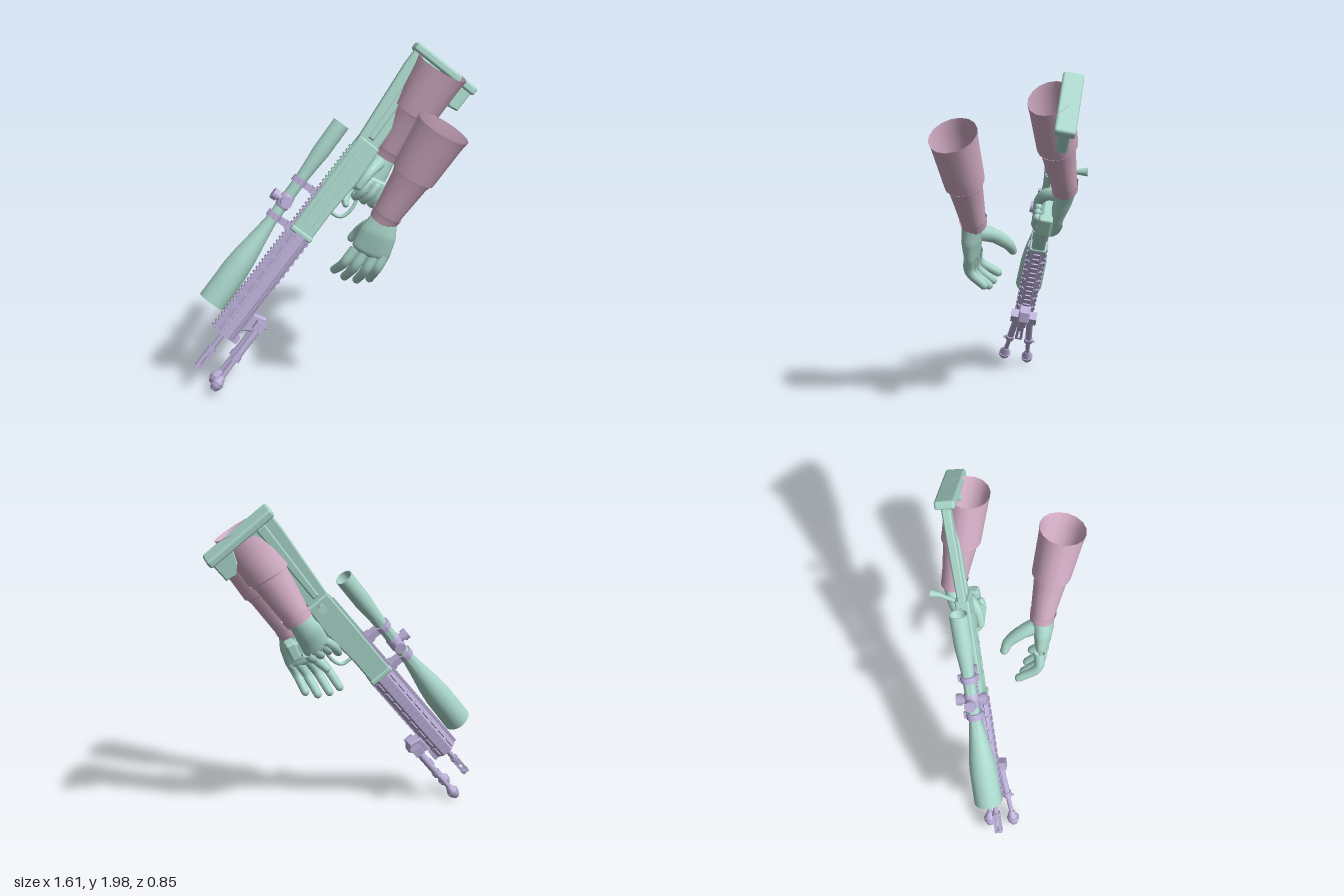
import * as THREE from 'three';
import { toCreasedNormals } from 'three/addons/utils/BufferGeometryUtils.js';
import { RoundedBoxGeometry } from 'three/addons/geometries/RoundedBoxGeometry.js';

const V = (p) => new THREE.Vector3(...p);

function makeMaterial(name, color) {
  const m = new THREE.MeshStandardMaterial({ color, side: THREE.DoubleSide });
  m.name = name;
  return m;
}

function add(parent, name, geometry, material, pos = [0, 0, 0]) {
  const mesh = new THREE.Mesh(geometry, material);
  mesh.name = name;
  mesh.position.set(...pos);
  parent.add(mesh);
  return mesh;
}

const box = (x, y, z) => new THREE.BoxGeometry(x, y, z);

// Lathe of [radius, distance] pairs, turned to lie along x
const turned = (profile, sides = 24) => toCreasedNormals(
  new THREE.LatheGeometry(profile.map(([r, y]) => new THREE.Vector2(r, y)), sides).rotateZ(-Math.PI / 2), 0.6);

// Side outline in x, y extruded to a centred width in z, with a small bevel
function plate(points, width, bevel = 0.008) {
  const shape = new THREE.Shape(points.map(([x, y]) => new THREE.Vector2(x, y)));
  const depth = width - 2 * bevel;
  return new THREE.ExtrudeGeometry(shape, {
    depth, bevelEnabled: true, bevelSize: bevel, bevelOffset: -bevel, bevelThickness: bevel, bevelSegments: 1,
  }).translate(0, 0, -depth / 2);
}

// Tapered rod between two points
function rod(a, b, ra, rb = ra, sides = 14) {
  const p = V(a), d = V(b).sub(p), g = new THREE.CylinderGeometry(rb, ra, d.length(), sides);
  g.translate(0, d.length() / 2, 0);
  g.applyQuaternion(new THREE.Quaternion().setFromUnitVectors(new THREE.Vector3(0, 1, 0), d.normalize()));
  return g.translate(p.x, p.y, p.z);
}

// Elliptical rings along a curve; radii are [across, through]; optional round end
function loft(points, radii, wide, cap = true, sides = 14, steps = 12) {
  const curve = new THREE.CatmullRomCurve3(points.map(V));
  const rings = [];
  for (let i = 0; i <= steps; i++) {
    const u = i / steps, f = u * (radii.length - 1), k = Math.min(Math.floor(f), radii.length - 2);
    const r = [0, 1].map((n) => THREE.MathUtils.lerp(radii[k][n], radii[k + 1][n], f - k));
    rings.push({ p: curve.getPoint(u), t: curve.getTangent(u), r });
  }
  if (cap) {
    const e = rings[steps], depth = e.r[1];
    for (let i = 1; i <= 5; i++) {
      const q = i / 5 * Math.PI / 2, c = Math.max(Math.cos(q), 0.001);
      rings.push({ p: e.p.clone().addScaledVector(e.t, depth * Math.sin(q)), t: e.t, r: e.r.map((v) => v * c) });
    }
  }
  const pos = [], index = [];
  rings.forEach(({ p, t, r }, i) => {
    const A = V(wide).addScaledVector(t, -V(wide).dot(t)).normalize();
    const B = new THREE.Vector3().crossVectors(t, A);
    for (let j = 0; j < sides; j++) {
      const q = j / sides * Math.PI * 2;
      const v = p.clone().addScaledVector(A, Math.cos(q) * r[0]).addScaledVector(B, Math.sin(q) * r[1]);
      pos.push(v.x, v.y, v.z);
      if (i === rings.length - 1) continue;
      const a = i * sides + j, b = i * sides + (j + 1) % sides;
      index.push(a, b, a + sides, b, b + sides, a + sides);
    }
  });
  const g = new THREE.BufferGeometry();
  g.setAttribute('position', new THREE.Float32BufferAttribute(pos, 3));
  g.setIndex(index);
  g.computeVertexNormals();
  return g;
}

const finger = (points, r0, r1) => loft(points, [[r0, r0], [r1, r1]], [0.31, 0.17, 0.93], true, 10, 10);

export function createModel() {
  const teal = makeMaterial('pale teal', 0xa9d6ca);
  const pink = makeMaterial('dusty pink', 0xd4aec6);
  const lilac = makeMaterial('lilac', 0xb9aed6);
  const model = new THREE.Group();
  model.name = 'rifleAndArms';

  // Rifle frame: x runs from muzzle to butt, y is its top, z its side
  const rifle = new THREE.Group();
  rifle.name = 'rifle';
  const along = V([0.585, 0.76, -0.281]).normalize();
  const side = along.clone().cross(V([-0.78, 0.62, 0.07])).normalize();
  const up = side.clone().cross(along);
  rifle.quaternion.setFromRotationMatrix(new THREE.Matrix4().makeBasis(along, up, side));
  rifle.position.set(-0.785, 0.17, 0.305);
  model.add(rifle);

  // Barrel and slotted muzzle
  add(rifle, 'barrel', rod([0.08, 0, 0], [0.3, 0, 0], 0.016), lilac);
  for (let i = 0; i < 4; i++) {
    const q = (i + 0.5) * Math.PI / 2;
    add(rifle, 'muzzleProng', box(0.13, 0.015, 0.015), lilac, [0.065, Math.cos(q) * 0.02, Math.sin(q) * 0.02]);
  }
  for (const x of [0.005, 0.13]) add(rifle, 'muzzleRing', turned([[0.011, x], [0.026, x], [0.026, x + 0.015], [0.011, x + 0.015]]), lilac);

  // Eight-sided handguard with ladder panels and lower rail
  const guard = new THREE.CylinderGeometry(0.074, 0.074, 0.74, 8).rotateY(Math.PI / 8).rotateZ(-Math.PI / 2).scale(1, 1, 0.78);
  add(rifle, 'handguard', toCreasedNormals(guard, 0.6), lilac, [0.615, -0.004, 0]);
  for (let i = 0; i < 16; i++) {
    const x = 0.275 + i * 0.0455;
    for (const s of [-1, 1]) {
      add(rifle, 'guardPanel', box(0.028, 0.048, 0.012), lilac, [x, -0.004, s * 0.054]);
      if (i % 2 === 0) {
        for (const y of [0.046, -0.054]) {
          const slot = add(rifle, 'guardSlot', box(0.065, 0.02, 0.008), lilac, [x + 0.02, y, s * 0.041]);
          slot.rotation.x = s * Math.sign(y) * -0.85;
        }
      }
    }
    add(rifle, 'lowerRailTooth', box(0.022, 0.012, 0.04), lilac, [x, -0.075, 0]);
  }
  add(rifle, 'gasBlock', box(0.05, 0.06, 0.05), lilac, [0.265, -0.065, 0]);

  // Top rail with teeth
  add(rifle, 'topRailFront', box(1.05, 0.012, 0.034), lilac, [0.775, 0.068, 0]);
  add(rifle, 'topRailRear', box(0.32, 0.012, 0.034), teal, [1.46, 0.07, 0]);
  for (let i = 0; i < 48; i++) {
    const x = 0.26 + i * 0.028;
    add(rifle, 'topRailTooth', box(0.014, 0.012, 0.042), x < 1.3 ? lilac : teal, [x, 0.078, 0]);
  }

  // Receiver, trigger and bolt
  add(rifle, 'receiver', plate([[0.98, -0.072], [1.2, -0.07], [1.45, -0.085], [1.66, -0.07], [1.66, 0.072], [0.98, 0.066]], 0.08), teal);
  add(rifle, 'receiverCollar', new RoundedBoxGeometry(0.035, 0.15, 0.105, 2, 0.012), teal, [0.995, -0.003, 0]);
  for (const s of [-1, 1]) {
    add(rifle, 'receiverRidge', box(0.5, 0.014, 0.012), teal, [1.32, 0.03, s * 0.04]);
    for (let i = 0; i < 4; i++) add(rifle, 'receiverRib', box(0.07, 0.012, 0.01), teal, [1.1 + i * 0.1, -0.035, s * 0.041]);
  }
  const loop = new THREE.CatmullRomCurve3([[1.2, -0.06, 0], [1.21, -0.13, 0], [1.26, -0.155, 0], [1.36, -0.145, 0], [1.41, -0.09, 0]].map(V));
  add(rifle, 'triggerGuard', new THREE.TubeGeometry(loop, 20, 0.011, 8), teal);
  add(rifle, 'trigger', rod([1.31, -0.07, 0], [1.29, -0.125, 0], 0.009, 0.006, 8), teal);
  add(rifle, 'boltHandle', rod([1.62, 0, -0.03], [1.67, 0, -0.13], 0.013), teal);
  add(rifle, 'boltKnob', rod([1.67, 0, -0.12], [1.685, 0, -0.185], 0.014, 0.025), teal);

  // Pistol grip with a blocky foot
  add(rifle, 'grip', plate([[1.38, -0.06], [1.49, -0.06], [1.55, -0.29], [1.45, -0.32]], 0.06, 0.015), teal);
  add(rifle, 'gripFoot', new RoundedBoxGeometry(0.12, 0.06, 0.08, 2, 0.015), teal, [1.5, -0.29, 0]).rotation.z = 0.25;

  // Stock, butt pad and toe
  add(rifle, 'stock', plate([[1.62, -0.065], [2.0, -0.05], [2.26, -0.08], [2.26, 0.12], [2.15, 0.118], [1.62, 0.07]], 0.05), teal);
  add(rifle, 'stockRidge', plate([[1.68, -0.01], [2.24, 0.0], [2.24, 0.06], [1.68, 0.03]], 0.066), teal);
  add(rifle, 'buttPad', new RoundedBoxGeometry(0.052, 0.45, 0.115, 2, 0.016), teal, [2.27, -0.09, 0]);
  add(rifle, 'stockToe', plate([[2.26, -0.15], [2.16, -0.19], [2.11, -0.24], [2.12, -0.3], [2.26, -0.3]], 0.065), teal);

  // Scope: open at both ends
  const scope = new THREE.Group();
  scope.name = 'scope';
  scope.position.y = 0.162;
  scope.rotation.z = 0.023;
  rifle.add(scope);
  add(scope, 'scopeBody', turned([[0, 0.42], [0.073, 0.42], [0.077, 0.36], [0.083, 0.36], [0.08, 0.6], [0.071, 0.7], [0.05, 0.84],
    [0.036, 0.95], [0.036, 1.25], [0.042, 1.34], [0.051, 1.45], [0.052, 1.65], [0.047, 1.65], [0.043, 1.6], [0, 1.6]]), teal);
  for (const x of [0.985, 1.235]) {
    add(scope, 'scopeRing', turned([[0.036, x - 0.02], [0.047, x - 0.02], [0.047, x + 0.02], [0.036, x + 0.02]]), lilac);
    add(scope, 'ringMount', box(0.04, 0.09, 0.055), lilac, [x, -0.062, 0]);
    for (const s of [-1, 1]) add(scope, 'ringLug', box(0.036, 0.022, 0.018), lilac, [x, 0, s * 0.051]);
    add(scope, 'mountClamp', box(0.045, 0.026, 0.075), lilac, [x, -0.095, 0]);
  }
  add(scope, 'turretBlock', turned([[0.034, 1.04], [0.042, 1.055], [0.042, 1.125], [0.034, 1.14]]), lilac);
  for (const d of [[0, 1, 0], [0, 0, 1], [0, 0, -1]]) {
    const at = (r) => [1.09, d[1] * r, d[2] * r];
    add(scope, 'turretStem', rod(at(0.02), at(0.06), 0.024), lilac);
    add(scope, 'turretCap', rod(at(0.055), at(0.088), 0.034, 0.034, 18), lilac);
  }

  // Bipod folded forward
  add(rifle, 'bipodMount', plate([[0.33, -0.07], [0.45, -0.07], [0.47, -0.15], [0.42, -0.185], [0.37, -0.15]], 0.07), lilac);
  add(rifle, 'bipodYoke', box(0.055, 0.06, 0.16), lilac, [0.41, -0.135, 0]);
  for (const s of [-1, 1]) {
    const at = (k) => [0.42 - 0.44 * k, -0.14, s * (0.04 + 0.035 * k)];
    add(rifle, 'legUpper', rod(at(0), at(0.55), 0.021), lilac);
    add(rifle, 'legLower', rod(at(0.5), at(0.95), 0.014), lilac);
    add(rifle, 'legCollar', rod(at(0.5), at(0.58), 0.027), lilac);
    add(rifle, 'legLever', rod(at(0.54), [at(0.56)[0], -0.14, s * 0.1], 0.007), lilac);
    add(rifle, 'footNeck', rod(at(0.84), at(0.94), 0.017, 0.034), lilac);
    add(rifle, 'foot', rod(at(0.94), at(1), 0.038, 0.034), lilac);
    add(rifle, 'footTip', rod(at(1), at(1.06), 0.034, 0.018), lilac);
  }

  // Right hand wrapped round the grip
  const across = [0, 1, 0];
  add(rifle, 'rightPalm', loft([[1.68, -0.15, -0.085], [1.57, -0.15, -0.075], [1.45, -0.17, -0.062]],
    [[0.06, 0.052], [0.08, 0.052], [0.082, 0.038]], across), teal);
  for (let i = 0; i < 3; i++) {
    const y = -0.135 - i * 0.05, x = 1.4 + i * 0.012;
    add(rifle, 'rightFinger', finger([[x + 0.04, y, -0.075], [x - 0.02, y, -0.06], [x - 0.04, y, 0], [x + 0.005, y, 0.05], [x + 0.07, y, 0.05]], 0.028, 0.023), teal);
  }
  add(rifle, 'rightIndex', finger([[1.46, -0.11, -0.08], [1.38, -0.095, -0.07], [1.31, -0.1, -0.035], [1.29, -0.11, 0.015]], 0.028, 0.02), teal);
  add(rifle, 'rightThumb', finger([[1.6, -0.13, -0.05], [1.56, -0.11, 0.02], [1.49, -0.1, 0.052], [1.42, -0.1, 0.056]], 0.042, 0.024), teal);

  // Left hand, open, fingers curling toward the rifle
  add(model, 'leftPalm', loft([[0.31, 1.14, 0.28], [0.27, 1.04, 0.3], [0.23, 0.94, 0.31]],
    [[0.07, 0.062], [0.105, 0.06], [0.112, 0.042]], [0.93, -0.36, 0]), teal);
  const knuckles = [[0.14, 0.94], [0.195, 0.925], [0.255, 0.91], [0.305, 0.915]];
  const tips = [[0.015, 0.78, 0.22], [0.075, 0.745, 0.235], [0.145, 0.73, 0.24], [0.22, 0.745, 0.25]];
  knuckles.forEach(([x, y], i) => {
    const [tx, ty, tz] = tips[i];
    add(model, 'leftFinger', finger([[x, y, 0.31], [x * 0.5 + tx * 0.5, y * 0.5 + ty * 0.5, 0.32], [tx, ty, tz]], 0.033, 0.025), teal);
  });
  add(model, 'leftThumb', finger([[0.27, 1.07, 0.28], [0.21, 1.04, 0.19], [0.15, 0.98, 0.12], [0.105, 0.935, 0.105]], 0.052, 0.025), teal);

  // Sleeves: wide upper part, narrower forearm, wrist band
  const sleeve = (name, top, step, cuff, depth) => {
    const arm = new THREE.Group();
    arm.name = name;
    model.add(arm);
    const mix = (a, b, k) => a.map((v, i) => v + (b[i] - v) * k);
    const tube = (part, a, b, ra, rb) => add(arm, part, loft([a, b], [ra, rb], [0.86, -0.51, 0], false, 16, 3), pink);
    tube('upperSleeve', top, step, [0.16, depth], [0.13, 0.113]);
    tube('sleeveHem', step, mix(step, cuff, 0.02), [0.13, 0.113], [0.121, 0.104]);
    tube('lowerSleeve', mix(step, top, 0.05), cuff, [0.124, 0.107], [0.078, 0.069]);
    tube('wristBand', mix(cuff, step, 0.12), mix(cuff, step, -0.05), [0.091, 0.08], [0.08, 0.071]);
  };
  sleeve('leftArm', [0.62, 1.66, 0.3], [0.46, 1.385, 0.285], [0.3, 1.12, 0.28], 0.135);
  sleeve('rightArm', [0.605, 1.87, -0.235], [0.45, 1.6, -0.24], [0.29, 1.34, -0.245], 0.12);

  return model;
}
